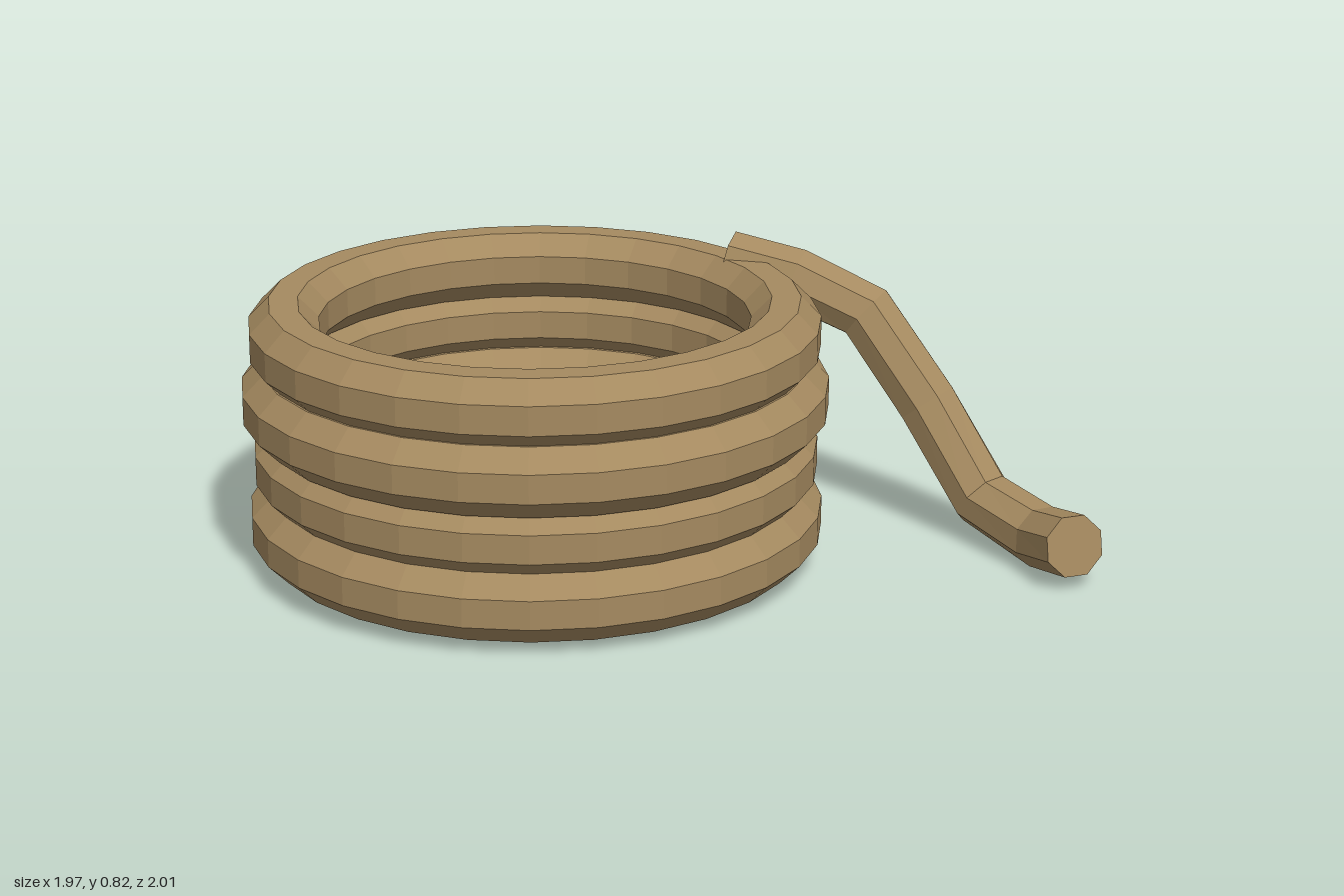
import * as THREE from 'three';

// Curve that passes through its points as a polyline, one tube segment per span
class PolyCurve extends THREE.Curve {
  constructor(points) {
    super();
    this.points = points;
  }
  getPointAt(u, target = new THREE.Vector3()) {
    const n = this.points.length - 1;
    const i = Math.min(Math.floor(u * n + 1e-6), n - 1);
    return target.lerpVectors(this.points[i], this.points[i + 1], u * n - i);
  }
  getPoint(u, target) {
    return this.getPointAt(u, target);
  }
  getTangentAt(u, target = new THREE.Vector3()) {
    const n = this.points.length - 1;
    const i = Math.round(u * n);
    const a = this.points[Math.max(i - 1, 0)];
    const b = this.points[Math.min(i + 1, n)];
    return target.subVectors(b, a).normalize();
  }
}

export function createModel() {
  const group = new THREE.Group();
  group.name = 'ropeCoil';
  const rope = new THREE.MeshStandardMaterial({ color: 0xa58a60 });
  rope.name = 'rope tan';
  rope.flatShading = true;

  const add = (geometry, name) => {
    const mesh = new THREE.Mesh(geometry, rope);
    mesh.name = name;
    group.add(mesh);
    return mesh;
  };

  // Stacked loops of octagonal rope, each slightly different in radius
  const ropeRadius = 0.0975 / Math.cos(Math.PI / 8);
  [0.7075, 0.6925, 0.722, 0.6975].forEach((radius, i) => {
    const profile = [];
    for (let k = 0; k <= 8; k++) {
      const a = ((k + 0.5) * Math.PI) / 4;
      profile.push(new THREE.Vector2(radius + ropeRadius * Math.cos(a), ropeRadius * Math.sin(a)));
    }
    const loop = add(new THREE.LatheGeometry(profile, 28), `coilLoop${i + 1}`);
    loop.position.set(-0.177, 0.132 + i * 0.1768, -0.18);
  });

  // Loose end hanging down from the top loop to the ground
  const path = new PolyCurve([
    [0.535, 0.735, -0.18],
    [0.645, 0.7, -0.01],
    [0.755, 0.62, 0.165],
    [0.835, 0.375, 0.345],
    [0.885, 0.125, 0.53],
    [0.86, 0.09, 0.79],
    [0.8, 0.13, 0.975],
  ].map((p) => new THREE.Vector3(...p)));
  const spans = path.points.length - 1;
  const tailRadius = 0.09;
  add(new THREE.TubeGeometry(path, spans, tailRadius, 8), 'ropeTail');

  // Cut faces at both ends of the loose end
  const frames = path.computeFrenetFrames(spans);
  [[0, -1, 'tailStartCap'], [spans, 1, 'tailEndCap']].forEach(([i, sign, name]) => {
    const basis = new THREE.Matrix4().makeBasis(
      frames.normals[i],
      frames.binormals[i].clone().multiplyScalar(sign),
      frames.tangents[i].clone().multiplyScalar(sign),
    ).setPosition(path.points[i]);
    add(new THREE.CircleGeometry(tailRadius, 8).applyMatrix4(basis), name);
  });

  return group;
}
